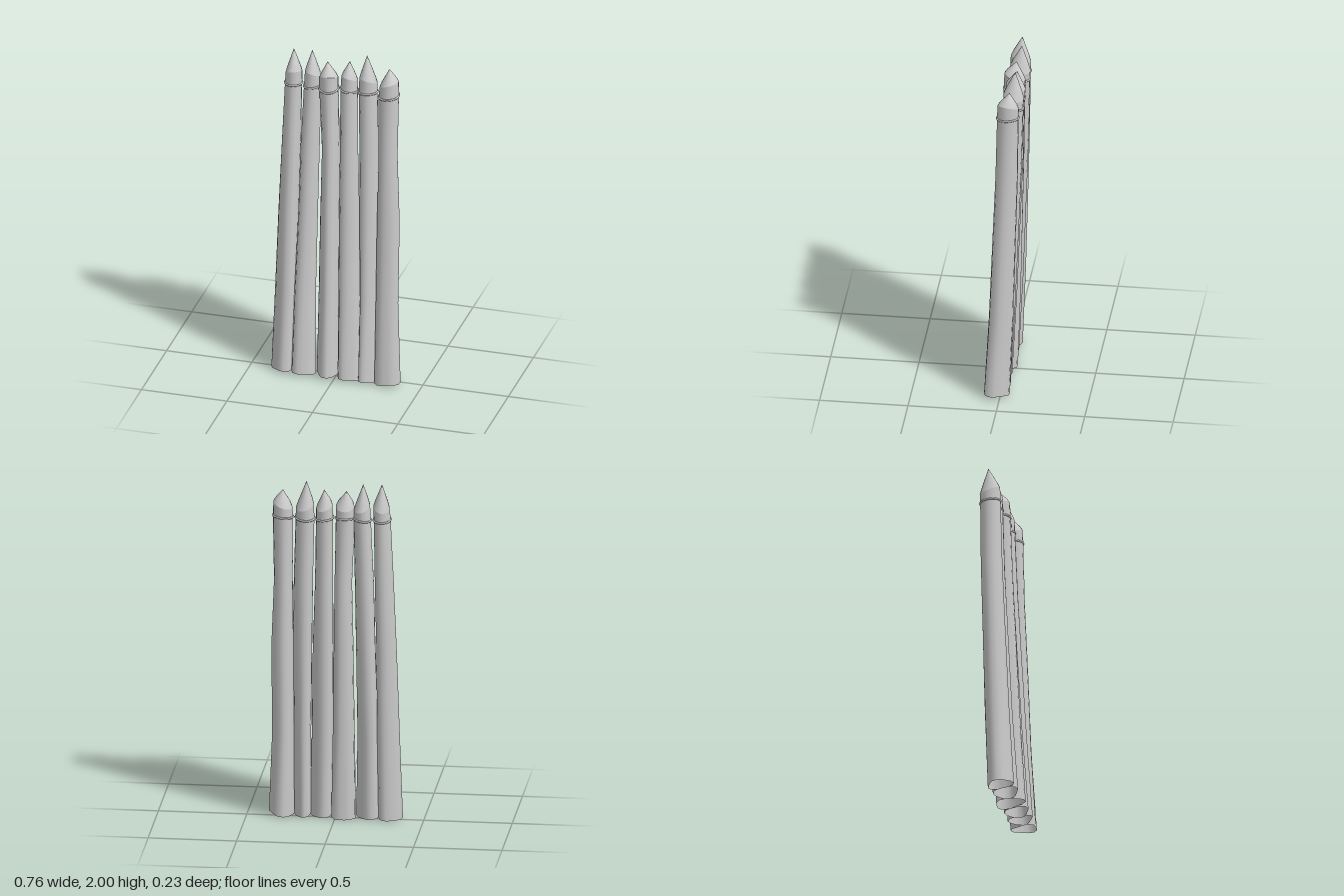
import * as THREE from 'three';

const SIDES = 14;
const HEIGHTS = [0.01, 0.5, 1.0, 1.4, 1.78, 1.85];

// Per stake: x extents at each height, z extents at bottom and top,
// direction of a corner of the rounded-triangle foot (degrees), and the tip
const STAKES = [
  { x: [[-0.38, -0.245], [-0.365, -0.24], [-0.35, -0.237], [-0.335, -0.228], [-0.318, -0.222], [-0.313, -0.22]],
    foot: [-0.05, 0.10], head: [-0.1, 0.013], corner: 67, tip: [-0.27, 1.99] },
  { x: [[-0.25, -0.115], [-0.243, -0.125], [-0.228, -0.12], [-0.222, -0.115], [-0.207, -0.11], [-0.203, -0.112]],
    foot: [-0.04, 0.105], head: [-0.11, 0.003], corner: 125, tip: [-0.165, 1.99] },
  { x: [[-0.115, 0.02], [-0.11, 0.01], [-0.105, 0.004], [-0.098, 0], [-0.115, -0.007], [-0.112, -0.007]],
    foot: [-0.055, 0.11], head: [-0.093, 0.023], corner: 85, tip: [-0.07, 1.94] },
  { x: [[0.02, 0.145], [0.015, 0.133], [0.01, 0.125], [0.008, 0.11], [0.006, 0.103], [0.01, 0.102]],
    foot: [-0.035, 0.105], head: [-0.108, 0], corner: 125, tip: [0.055, 1.95] },
  { x: [[0.14, 0.235], [0.14, 0.235], [0.13, 0.235], [0.122, 0.23], [0.112, 0.218], [0.114, 0.216]],
    foot: [-0.04, 0.105], head: [-0.113, 0], corner: 125, tip: [0.155, 2.0] },
  { x: [[0.235, 0.378], [0.235, 0.357], [0.235, 0.36], [0.238, 0.343], [0.234, 0.348], [0.237, 0.345]],
    foot: [-0.05, 0.095], head: [-0.1, 0.018], corner: 25, tip: [0.29, 1.94] },
];

// Closed cross-section scaled to fit its extents; triangular at the foot, round at the head
function section(stake, level) {
  const t = level / (HEIGHTS.length - 1);
  const y = HEIGHTS[level];
  const k = 0.14 * (1 - t) ** 1.2;
  const phi = THREE.MathUtils.degToRad(stake.corner);
  const sag = level > 0 && level < 4 ? -0.006 : 0;
  const [z0, z1] = stake.foot.map((f, i) => THREE.MathUtils.lerp(f, stake.head[i], y / 1.85) + sag);
  const [x0, x1] = stake.x[level];
  const raw = [];
  for (let i = 0; i < SIDES; i++) {
    const a = (i / SIDES) * Math.PI * 2;
    const r = 1 + k * Math.cos(3 * (a - phi));
    raw.push(new THREE.Vector2(r * Math.cos(a), r * Math.sin(a)));
  }
  const box = new THREE.Box2().setFromPoints(raw);
  // sloping shoulder and slightly uneven foot
  const wobble = level === 5 ? 0.02 : level === 0 ? 0.009 : 0;
  return raw.map((p, i) => new THREE.Vector3(
    THREE.MathUtils.mapLinear(p.x, box.min.x, box.max.x, x0, x1),
    y + wobble * Math.cos((i / SIDES) * Math.PI * 2 - phi),
    THREE.MathUtils.mapLinear(p.y, box.min.y, box.max.y, z0, z1)));
}

// Smooth skin over a stack of closed rings
function loft(rings) {
  const index = [];
  for (let r = 0; r < rings.length - 1; r++) {
    for (let i = 0; i < SIDES; i++) {
      const j = (i + 1) % SIDES;
      const a = r * SIDES + i, b = r * SIDES + j;
      index.push(a, a + SIDES, b, b, a + SIDES, b + SIDES);
    }
  }
  const geometry = new THREE.BufferGeometry().setFromPoints(rings.flat());
  geometry.setIndex(index);
  geometry.computeVertexNormals();
  return geometry;
}

export function createModel() {
  const model = new THREE.Group();
  model.name = 'palisade';
  const wood = new THREE.MeshStandardMaterial({ color: 0xcccccc, side: THREE.DoubleSide });

  STAKES.forEach((stake, n) => {
    const group = new THREE.Group();
    group.name = `stake${n + 1}`;
    const add = (name, geometry) => {
      const mesh = new THREE.Mesh(geometry, wood);
      mesh.name = name;
      group.add(mesh);
    };

    // Crooked trunk, open at the foot
    const rings = HEIGHTS.map((_, level) => section(stake, level));
    add('trunk', loft(rings));

    // Sharpened point with a slightly rounded shoulder
    const shoulder = rings[rings.length - 1];
    const apex = new THREE.Vector3(stake.tip[0], stake.tip[1], (stake.head[0] + stake.head[1]) / 2 - 0.008);
    const toward = (s, lift) => shoulder.map((p) => {
      const q = p.clone().lerp(apex, s);
      q.y += lift;
      return q;
    });
    add('point', loft([shoulder, toward(0.2, 0.006), toward(0.6, 0.003), toward(1, 0)]));

    // Thin rope band, slightly tilted
    const band = rings[4].map((p, i) => {
      const q = p.clone();
      q.y += 0.006 * Math.sin((i / SIDES) * Math.PI * 2 + n * 1.7);
      return q;
    });
    add('ropeBand', new THREE.TubeGeometry(new THREE.CatmullRomCurve3(band, true), 36, 0.006, 6, true));

    model.add(group);
  });
  return model;
}
